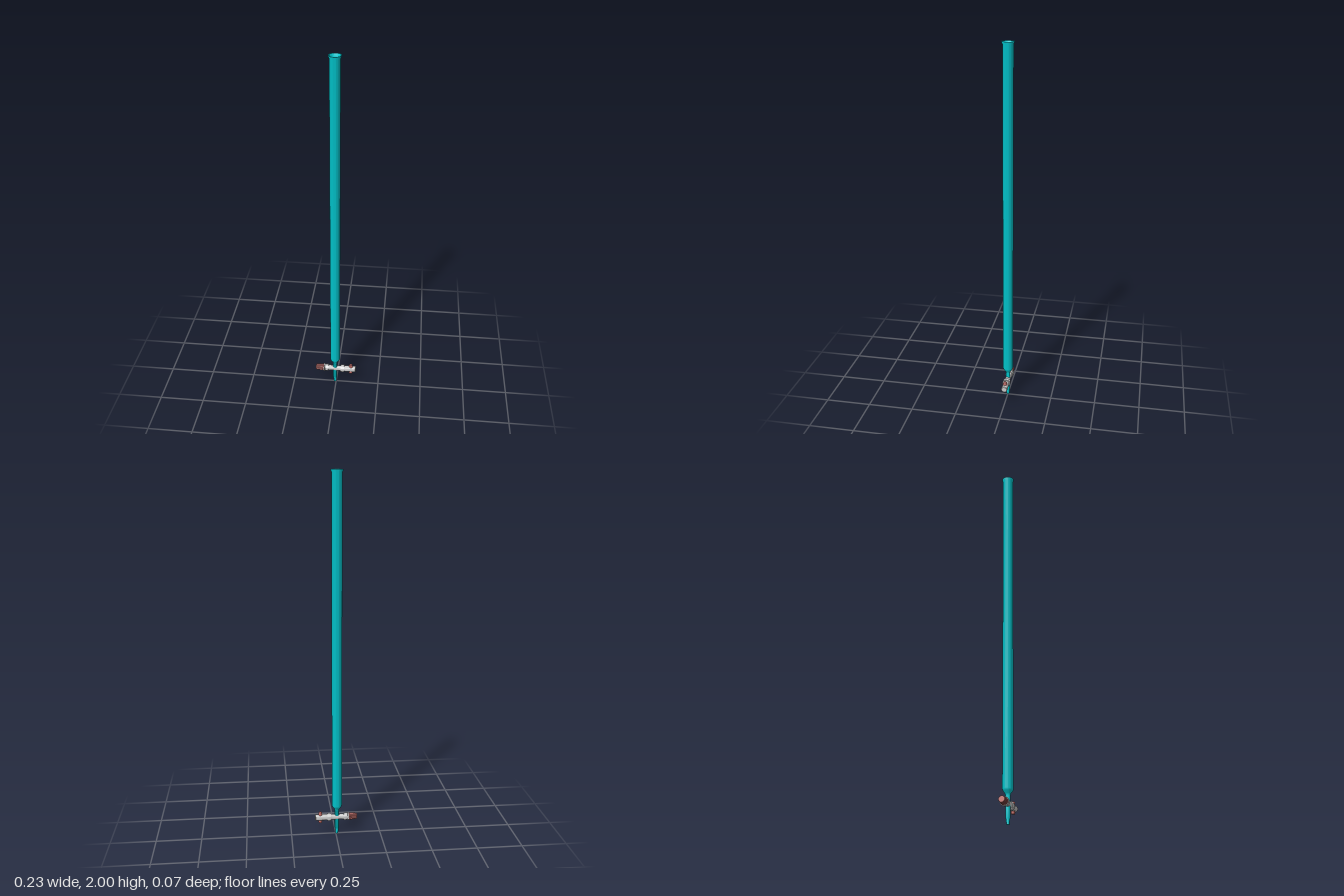
import * as THREE from 'three';
import { toCreasedNormals } from 'three/addons/utils/BufferGeometryUtils.js';

const AXIS_X = -0.006; // the glass tube stands slightly off centre
const TAP_Y = 0.1;

const glass = new THREE.MeshStandardMaterial({ color: 0x00d0d8, side: THREE.DoubleSide });
const grey = new THREE.MeshStandardMaterial({ color: 0xcccccc });
const red = new THREE.MeshStandardMaterial({ color: 0xc8716c });

// Lathe from [radius, height] pairs, listed from bottom to top on the outside
function turned(name, points, material, segments = 32) {
  const profile = points.map(([r, y]) => new THREE.Vector2(r, y));
  const geometry = toCreasedNormals(new THREE.LatheGeometry(profile, segments), 0.6);
  const mesh = new THREE.Mesh(geometry, material);
  mesh.name = name;
  return mesh;
}

// Tapered cap with grip flutes: alternate rim vertices are pulled inwards
function flutedCap(flutes) {
  const geometry = new THREE.CylinderGeometry(0.016, 0.02, 0.046, flutes * 4, 1).toNonIndexed();
  const p = geometry.attributes.position;
  for (let i = 0; i < p.count; i++) {
    const angle = Math.atan2(p.getZ(i), p.getX(i));
    const k = Math.cos(angle * flutes) < -0.01 ? 0.9 : 1;
    p.setXYZ(i, p.getX(i) * k, p.getY(i), p.getZ(i) * k);
  }
  geometry.computeVertexNormals();
  const mesh = new THREE.Mesh(geometry, red);
  mesh.name = 'flutedCap';
  return mesh;
}

export function createModel() {
  const model = new THREE.Group();
  model.name = 'burette';

  // Hollow measuring tube with flared rim, shoulder and neck
  const tube = turned('measuringTube', [
    [0.005, TAP_Y], [0.012, TAP_Y], [0.012, 0.142], [0.015, 0.151], [0.025, 0.164],
    [0.028, 0.173], [0.028, 1.985], [0.033, 1.996], [0.033, 2], [0.029, 2],
    [0.024, 1.985], [0.024, 0.175], [0.021, 0.167], [0.011, 0.154], [0.007, 0.144],
    [0.005, TAP_Y],
  ], glass);

  // Outlet below the tap, narrowing to a fine tip
  const tip = turned('outletTip', [
    [0.004, 0], [0.007, 0], [0.009, 0.024], [0.012, 0.034], [0.012, TAP_Y],
    [0.005, TAP_Y], [0.005, 0.03], [0.004, 0],
  ], glass);
  for (const part of [tube, tip]) {
    part.position.x = AXIS_X;
    model.add(part);
  }

  // Tap assembly is turned about y, then laid along x
  const tap = new THREE.Group();
  tap.name = 'stopcock';
  tap.position.y = TAP_Y;
  tap.rotation.z = -Math.PI / 2;
  model.add(tap);

  // Barrel with a collar at each end
  tap.add(turned('barrel', [
    [0, -0.066], [0.019, -0.066], [0.021, -0.045], [0.017, -0.044], [0.015, -0.03],
    [0.015, 0.02], [0.017, 0.028], [0.022, 0.028], [0.022, 0.048], [0, 0.048],
  ], grey));

  // Washer between barrel and cap
  tap.add(turned('washer', [
    [0, -0.072], [0.023, -0.072], [0.023, -0.067], [0, -0.067],
  ], grey));

  const cap = flutedCap(16);
  cap.position.y = -0.095;
  cap.rotation.x = Math.PI; // wide end against the washer
  cap.scale.y = -1;
  cap.rotation.x = 0;
  cap.scale.y = 1;
  cap.rotation.z = Math.PI;
  tap.add(cap);

  // Plug end that carries the handle
  tap.add(turned('plug', [
    [0, 0.046], [0.017, 0.046], [0.017, 0.114], [0.015, 0.116], [0, 0.116],
  ], grey));

  // Cross pin used to turn the plug
  const handle = turned('handlePin', [
    [0, -0.031], [0.008, -0.031], [0.01, -0.028], [0.01, 0.028], [0.008, 0.031], [0, 0.031],
  ], red, 24);
  handle.position.set(0.087, TAP_Y, 0);
  model.add(handle);

  return model;
}
